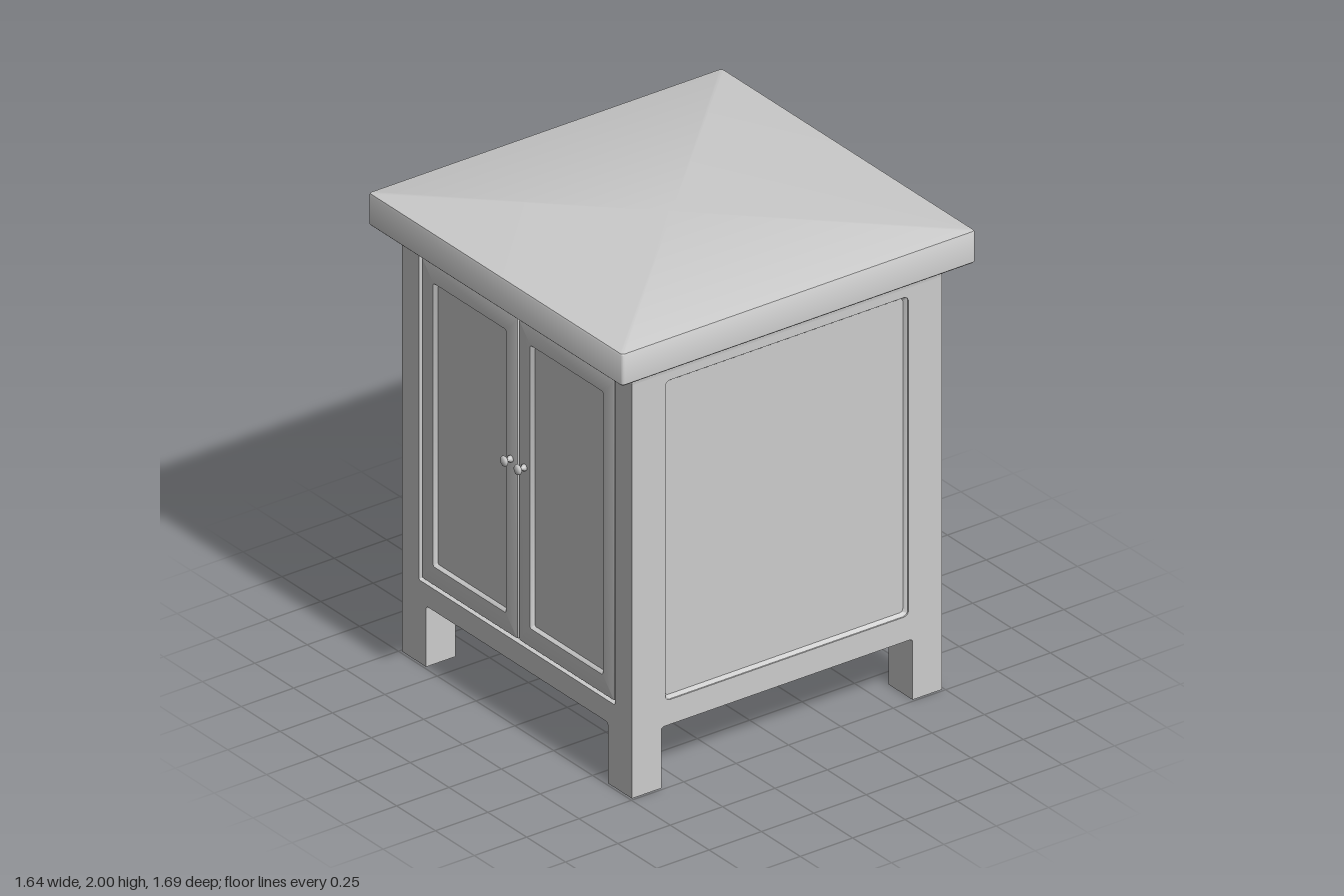
import * as THREE from 'three';
import { toCreasedNormals } from 'three/addons/utils/BufferGeometryUtils.js';

const H = 1.85, APRON = 0.265, HALF = 0.74;

// Points of a rounded rectangle, counter-clockwise; w and h are half sizes.
function roundedRect(w, h, r, steps = 4) {
  const pts = [];
  [[1, 1], [-1, 1], [-1, -1], [1, -1]].forEach(([sx, sy], c) => {
    for (let i = 0; i <= steps; i++) {
      const a = (c + i / steps) * Math.PI / 2;
      pts.push(new THREE.Vector2(sx * (w - r) + r * Math.cos(a), sy * (h - r) + r * Math.sin(a)));
    }
  });
  return pts;
}

// Capped loft through rounded rectangles [halfWidth, halfHeight, radius, z].
function loft(sections) {
  const pos = [], idx = [];
  const rings = sections.map(([w, h, r, z]) => roundedRect(w, h, r).map(p => [p.x, p.y, z]));
  const n = rings[0].length, last = rings.length - 1;
  rings.forEach(ring => ring.forEach(p => pos.push(...p)));
  const c0 = pos.length / 3;
  pos.push(0, 0, sections[0][3], 0, 0, sections[last][3]);
  for (let j = 0; j < n; j++) {
    const k = (j + 1) % n;
    for (let i = 0; i < last; i++) {
      const a = i * n + j, b = i * n + k;
      idx.push(a, b, a + n, b, b + n, a + n);
    }
    idx.push(c0, k, j, c0 + 1, last * n + j, last * n + k);
  }
  const g = new THREE.BufferGeometry();
  g.setAttribute('position', new THREE.Float32BufferAttribute(pos, 3));
  g.setIndex(idx);
  return toCreasedNormals(g, 0.6);
}

// Flat frame with two feet below an apron, and an optional panel opening.
function frame(half, legInner, depth, hole) {
  const r = 0.015, s = new THREE.Shape();
  s.moveTo(-half, 0);
  s.lineTo(-legInner, 0);
  s.lineTo(-legInner, APRON - r);
  s.quadraticCurveTo(-legInner, APRON, -legInner + r, APRON);
  s.lineTo(legInner - r, APRON);
  s.quadraticCurveTo(legInner, APRON, legInner, APRON - r);
  s.lineTo(legInner, 0);
  s.lineTo(half, 0);
  s.lineTo(half, H);
  s.lineTo(-half, H);
  if (hole) {
    const [w, y0, y1, rad] = hole;
    const pts = roundedRect(w, (y1 - y0) / 2, rad);
    pts.forEach(p => { p.y += (y0 + y1) / 2; });
    s.holes.push(new THREE.Path(pts));
  }
  return new THREE.ExtrudeGeometry(s, { depth, bevelEnabled: false, curveSegments: 4 });
}

export function createModel() {
  const model = new THREE.Group();
  const mat = new THREE.MeshStandardMaterial({ color: 0xcccccc });
  const add = (name, geo, x = 0, y = 0, z = 0, parent = model) => {
    const m = new THREE.Mesh(geo, mat);
    m.name = name;
    m.position.set(x, y, z);
    parent.add(m);
    return m;
  };

  // Carcass and face frames
  add('carcass', new THREE.BoxGeometry(1.43, H - APRON, 1.405), 0, (H + APRON) / 2, -0.0125);
  add('frontFrame', frame(HALF, 0.585, 0.05, [0.63, 0.36, 1.785, 0.006]), 0, 0, 0.69);
  add('backPanel', frame(HALF, 0.585, 0.025), 0, 0, -HALF);

  for (const s of [1, -1]) {
    const side = s > 0 ? 'left' : 'right';

    // Side frame with a recessed panel and sloped moulding
    const group = new THREE.Group();
    group.name = side + 'Side';
    group.rotation.y = s * Math.PI / 2;
    group.position.x = s * 0.715;
    model.add(group);
    add('sideFrame', frame(0.715, 0.6, 0.025, [0.58, 0.373, 1.765, 0.022]), 0, 0, 0, group);
    add('sidePanel', loft([
      [0.581, 0.697, 0.022, -0.005], [0.581, 0.697, 0.022, 0.02],
      [0.575, 0.691, 0.018, 0.016], [0.567, 0.683, 0.014, 0.006],
    ]), 0, 1.069, 0, group);

    // Solid feet behind the frames
    for (const t of [1, -1]) {
      add(side + (t > 0 ? 'Front' : 'Back') + 'Leg',
        new THREE.BoxGeometry(0.13, 0.27, 0.115), s * 0.65, 0.135, t * 0.6575);
    }

    // Door with softened edge and sunken panel
    add(side + 'Door', loft([
      [0.308, 0.7, 0.006, 0], [0.308, 0.7, 0.006, 0.038],
      [0.306, 0.698, 0.006, 0.043], [0.301, 0.693, 0.006, 0.045],
      [0.234, 0.617, 0.008, 0.045], [0.231, 0.614, 0.008, 0.041],
      [0.226, 0.609, 0.008, 0.028],
    ]), s * 0.312, 1.07, 0.69);

    // Turned knob
    const profile = [[0, 0], [0.014, 0], [0.014, 0.01], [0.008, 0.016], [0.008, 0.026],
      [0.018, 0.029], [0.022, 0.034], [0.02, 0.041], [0.012, 0.046], [0, 0.047]];
    const knob = new THREE.LatheGeometry(profile.map(p => new THREE.Vector2(...p)), 20);
    add(side + 'Knob', knob.rotateX(Math.PI / 2), s * 0.044, 1.14, 0.733);
  }

  // Cove moulding flaring out below the top
  const cove = [[0, 1.80], [0.001, 1.815], [0.005, 1.83], [0.013, 1.843], [0.025, 1.853], [0.032, 1.856], [0.032, 1.865]];
  add('coveMoulding', loft(cove.map(([o, y]) => [HALF + o, HALF + o, 0.003, y])).rotateX(-Math.PI / 2));

  // Table top with softened edges
  add('top', loft([[0.812, 0.839, 0.012, 1.86], [0.818, 0.845, 0.015, 1.866],
    [0.818, 0.845, 0.015, 1.992], [0.815, 0.842, 0.014, 1.998], [0.81, 0.837, 0.012, 2],
  ]).rotateX(-Math.PI / 2));

  return model;
}
